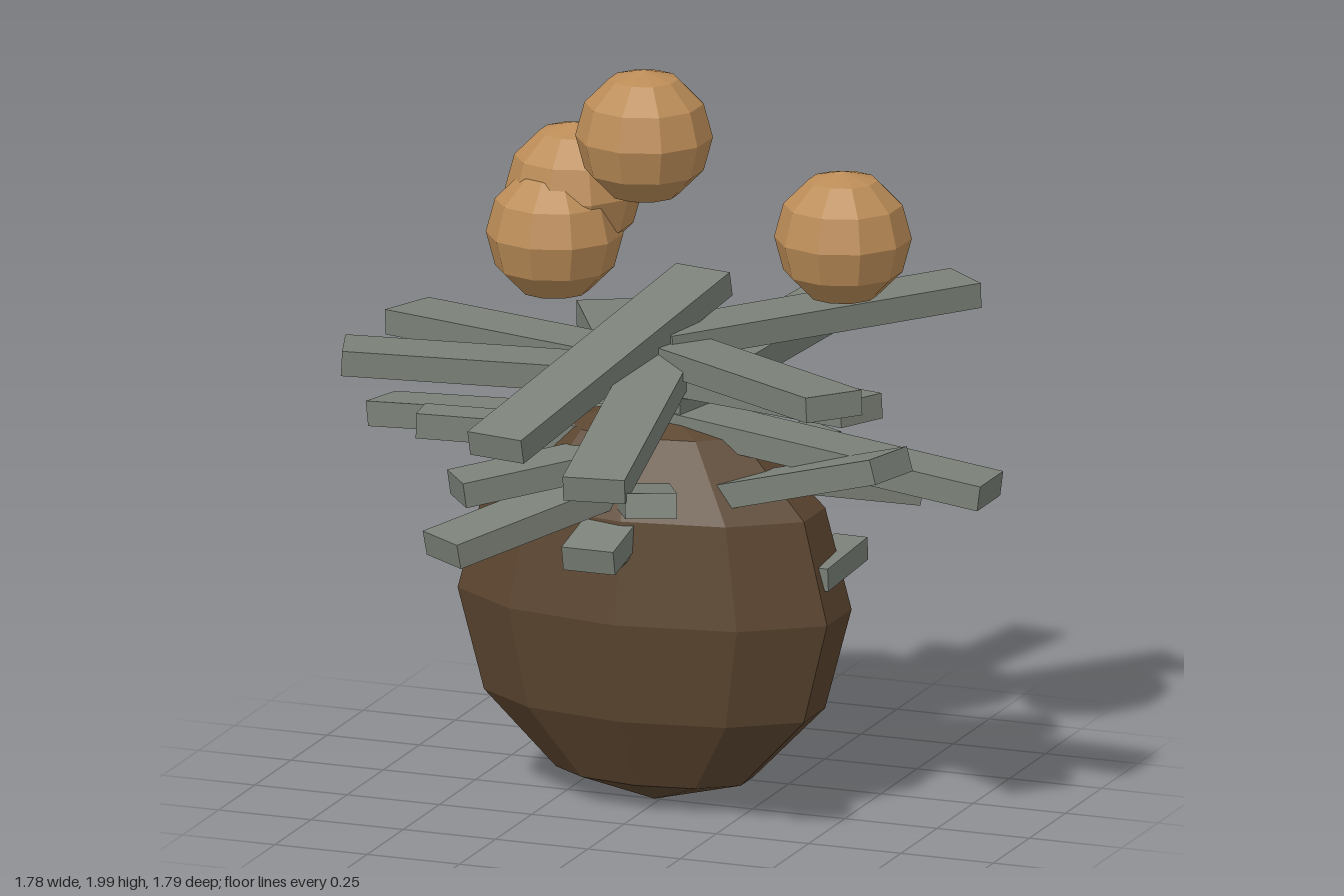
import * as THREE from 'three';

const mat = (color) => new THREE.MeshStandardMaterial({ color, flatShading: true });

export function createModel() {
  const group = new THREE.Group();
  const brown = mat(0x5c4630), grey = mat(0x7b8178), tan = mat(0xbc8d58);

  // faceted ball, turned so a corner points to the front
  const ball = (name, material, p, r) => {
    const mesh = new THREE.Mesh(new THREE.SphereGeometry(1, 10, 6, Math.PI / 2), material);
    mesh.name = name;
    mesh.position.set(...p);
    mesh.scale.set(...r);
    group.add(mesh);
  };

  // straight plank between two points, its wide face kept level
  const plank = (name, from, to, width = 0.16, thick = 0.065) => {
    const a = new THREE.Vector3(...from), b = new THREE.Vector3(...to);
    const mesh = new THREE.Mesh(new THREE.BoxGeometry(width, thick, a.distanceTo(b)), grey);
    mesh.name = name;
    mesh.position.copy(a).add(b).multiplyScalar(0.5);
    mesh.lookAt(b);
    group.add(mesh);
  };

  // flattened body
  ball('body', brown, [-0.015, 0.53, 0], [0.526, 0.525, 0.275]);

  // floating balls
  const balls = [[0.07, 1.825, 0.29], [-0.21, 1.6, 0.06], [0.46, 1.5, -0.09], [-0.235, 1.5, 0.13]];
  balls.forEach((p) => ball('floatingBall', tan, p, [0.174, 0.174, 0.174]));

  // crown of planks: inner end, outer end, width
  const planks = [
    [[0.03, 1.31, -0.23], [-0.16, 1.1, 0.73]],
    [[0, 1.05, 0.05], [0.165, 1.12, -0.88]],
    [[-0.02, 1.07, 0.02], [-0.45, 1.03, -0.79]],
    [[0, 1.21, 0.02], [0.57, 1.23, -0.66]],
    [[0, 1.18, -0.02], [0.69, 1.25, 0.56]],
    [[0, 1.13, -0.03], [-0.83, 1.09, -0.37]],
    [[0, 0.98, -0.01], [-0.86, 0.87, -0.27], 0.12],
    [[0.1, 1.11, -0.02], [-0.755, 1.16, 0.265]],
    [[-0.05, 1.02, -0.01], [0.89, 0.9, -0.01]],
    [[-0.1, 0.75, -0.02], [0.7, 1.0, 0.19]],
    [[-0.1, 1.12, -0.03], [0.69, 1.19, 0.37], 0.14],
    [[0, 0.9, 0.02], [0.55, 0.79, -0.36]],
    [[-0.05, 0.8, 0], [0.3, 1.02, 0.83], 0.13],
    [[0.03, 1.19, 0], [0.165, 1.06, 0.88]],
    [[0.05, 0.9, -0.05], [-0.38, 0.76, 0.54]],
    [[0.05, 0.95, 0], [-0.41, 0.87, 0.36], 0.14],
    [[0.1, 0.95, 0], [-0.61, 0.96, 0.1], 0.1],
    [[0, 0.95, 0], [-0.48, 0.87, -0.53]],
    [[0, 0.9, 0], [-0.4, 0.9, -0.36], 0.14],
    [[0, 0.92, 0.05], [-0.16, 0.84, -0.49], 0.12],
    [[0, 1.0, 0.1], [0.01, 1.02, -0.74], 0.09],
    [[0, 0.9, 0], [0.27, 0.86, -0.45], 0.13],
  ];
  planks.forEach(([from, to, width]) => plank('plank', from, to, width));

  // stubs and knobs set into the body
  plank('sideStub', [0.43, 0.64, 0.05], [0.44, 0.66, -0.2], 0.09, 0.06);
  plank('frontStub', [-0.05, 0.78, 0.1], [-0.05, 0.72, 0.37], 0.14);
  plank('backStub', [0.05, 0.72, -0.12], [0.05, 0.68, -0.28], 0.08);
  ball('knob', grey, [0.25, 0.68, -0.24], [0.06, 0.06, 0.06]);
  ball('knob', grey, [-0.1, 0.66, -0.28], [0.06, 0.06, 0.06]);
  ball('knob', grey, [-0.03, 0.72, 0.26], [0.05, 0.05, 0.05]);

  return group;
}
